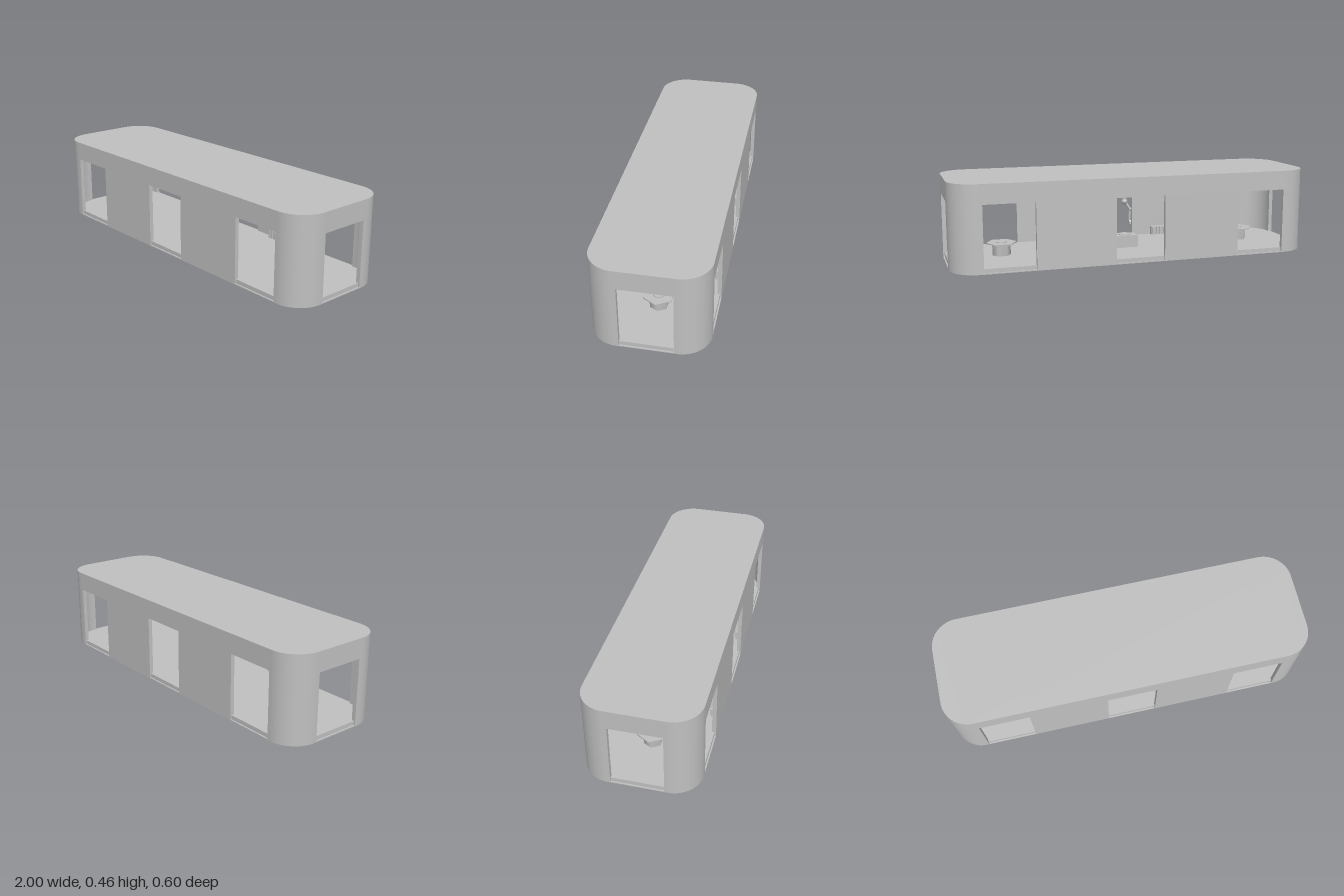
import * as THREE from 'three';

const L = 1, W = 0.3, R = 0.15, T = 0.022;      // half length, half width, corner radius, wall thickness
const DOOR = 0.136, SIDE = 0.7;                 // door half width, side bay position
const Y0 = 0.005, FLOOR = 0.027, HEAD = 0.358, CEIL = 0.376, TOP = 0.463;

// Rounded rectangle footprint
function outline(shape, l, w, r) {
  shape.moveTo(l, -w + r);
  shape.lineTo(l, w - r);
  shape.absarc(l - r, w - r, r, 0, Math.PI / 2);
  shape.absarc(-l + r, w - r, r, Math.PI / 2, Math.PI);
  shape.absarc(-l + r, -w + r, r, Math.PI, Math.PI * 1.5);
  shape.absarc(l - r, -w + r, r, Math.PI * 1.5, Math.PI * 2);
  return shape;
}

// Footprint raised from y0 to y1
function rise(shape, y0, y1) {
  return new THREE.ExtrudeGeometry(shape, { depth: y1 - y0, bevelEnabled: false, curveSegments: 12 })
    .rotateX(-Math.PI / 2).translate(0, y0, 0);
}

export function createModel() {
  const model = new THREE.Group();
  const grey = new THREE.MeshStandardMaterial({ color: 0xc0c0c0 });
  grey.name = 'light grey';

  function add(name, geometry, x = 0, y = 0, z = 0, parent = model) {
    const mesh = new THREE.Mesh(geometry, grey);
    mesh.name = name;
    mesh.position.set(x, y, z);
    parent.add(mesh);
    return mesh;
  }
  const box = (name, w, h, d, x, y, z, parent) => add(name, new THREE.BoxGeometry(w, h, d), x, y, z, parent);
  const disc = (name, r, y0, y1, x, sides = 32, parent = model) =>
    add(name, new THREE.CylinderGeometry(r, r, y1 - y0, sides), x, (y0 + y1) / 2, 0, parent);

  // Straight round link between two points
  function link(name, a, b, r0, r1, parent) {
    const d = b.clone().sub(a);
    const mesh = add(name, new THREE.CylinderGeometry(r1, r0, d.length(), 20), 0, 0, 0, parent);
    mesh.position.copy(a).lerp(b, 0.5);
    mesh.quaternion.setFromUnitVectors(new THREE.Vector3(0, 1, 0), d.normalize());
  }

  // Base, floor, header band and roof
  const full = () => outline(new THREE.Shape(), L, W, R);
  add('base', rise(full(), 0, Y0));
  add('floor', rise(outline(new THREE.Shape(), L - 0.008, W - 0.008, R - 0.008), Y0, FLOOR));
  const band = full();
  band.holes.push(outline(new THREE.Path(), L - T, W - T, R - T));
  add('header', rise(band, HEAD, CEIL));
  add('roof', rise(full(), CEIL, TOP));

  // Curved corner walls
  for (const sx of [-1, 1]) for (const sz of [-1, 1]) {
    const a = (sx > 0 ? 0 : Math.PI), b = sz * Math.PI / 2;
    const cx = sx * (L - R), cz = sz * (W - R);
    const end = sx > 0 ? b : (sz > 0 ? Math.PI / 2 : Math.PI * 1.5);
    const cw = end < a;
    const s = new THREE.Shape();
    s.moveTo(sx * L, sz * DOOR);
    s.lineTo(sx * L, cz);
    s.absarc(cx, cz, R, a, end, cw);
    s.lineTo(sx * (SIDE + DOOR), sz * W);
    s.lineTo(sx * (SIDE + DOOR), sz * (W - T));
    s.lineTo(cx, sz * (W - T));
    s.absarc(cx, cz, R - T, end, a, !cw);
    s.lineTo(sx * (L - T), sz * DOOR);
    add('cornerWall', rise(s, Y0, HEAD));
  }

  // Wall panels between the doors, with low vented cabinets inside
  const panelW = SIDE - 2 * DOOR, panelX = SIDE / 2;
  for (const sx of [-1, 1]) for (const sz of [-1, 1]) {
    box('wallPanel', panelW, HEAD - Y0, T, sx * panelX, (HEAD + Y0) / 2, sz * (W - T / 2));
    const cabinet = new THREE.Group();
    cabinet.name = 'ventedCabinet';
    model.add(cabinet);
    box('cabinetBody', 0.2, 0.05, 0.03, sx * panelX, FLOOR + 0.025, sz * (W - T - 0.015), cabinet);
    for (let i = 0; i < 9; i++)
      box('cabinetRib', 0.008, 0.04, 0.008, sx * panelX + (i - 4) * 0.022, FLOOR + 0.025, sz * (W - T - 0.034), cabinet);
  }

  // Ceiling beams
  for (const z of [-0.16, 0.16]) box('longBeam', 1.8, 0.01, 0.012, 0, CEIL - 0.005, z);
  for (const x of [-0.35, -0.12, 0.12, 0.35]) box('crossBeam', 0.012, 0.01, 0.5, x, CEIL - 0.005, 0);

  // Side bays: hexagonal tables below round ceiling lamps
  for (const x of [-SIDE, SIDE]) {
    const table = new THREE.Group();
    table.name = 'hexTable';
    model.add(table);
    // a hexagon corner points along x
    for (const [name, r, y0, y1] of [['tableBase', 0.05, FLOOR, 0.091], ['tableTop', 0.083, 0.091, 0.097]])
      disc(name, r, y0, y1, x, 6, table).rotation.y = Math.PI / 6;
    disc('tablePad', 0.03, 0.097, 0.102, x, 24, table);
    disc('lampRim', 0.043, 0.352, CEIL, x);
    disc('lampLens', 0.035, 0.345, 0.352, x);
  }

  // Centre bay: square plinth with a round plate
  box('plinth', 0.135, 0.068, 0.08, 0, FLOOR + 0.034, 0);
  disc('plinthPlate', 0.035, 0.095, 0.1, 0);

  // Ceiling ring around the arm mount
  const ring = new THREE.LatheGeometry(
    [[0.055, CEIL], [0.055, 0.361], [0.075, 0.361], [0.075, CEIL]].map(p => new THREE.Vector2(...p)), 32);
  add('mountRing', ring.toNonIndexed()).geometry.computeVertexNormals();

  // Hanging jointed arm
  const arm = new THREE.Group();
  arm.name = 'hangingArm';
  model.add(arm);
  const [mount, shoulder, elbow, wrist] =
    [[0, CEIL], [0, 0.285], [-0.032, 0.24], [-0.03, 0.178]].map(p => new THREE.Vector3(...p, 0));
  disc('armCollar', 0.014, 0.322, 0.326, 0, 24, arm);
  link('upperArm', mount, shoulder, 0.0115, 0.0115, arm);
  add('shoulderBall', new THREE.SphereGeometry(0.017, 24, 16), 0, shoulder.y, 0, arm);
  link('middleArm', shoulder, elbow, 0.009, 0.008, arm);
  add('elbowBall', new THREE.SphereGeometry(0.01, 20, 14), elbow.x, elbow.y, 0, arm);
  link('forearm', elbow, wrist, 0.007, 0.006, arm);

  // Pointed gripper blade
  const blade = new THREE.Shape([[-0.015, 0.168], [-0.015, 0.152], [0, 0.145], [0.015, 0.152], [0.015, 0.168],
    [0.008, 0.178], [-0.008, 0.178]].map(p => new THREE.Vector2(...p)));
  const gripper = new THREE.ExtrudeGeometry(blade, { depth: 0.01, bevelEnabled: false });
  add('gripper', gripper.translate(0, 0, -0.005).rotateY(Math.PI / 2), wrist.x, 0, 0, arm);

  return model;
}
